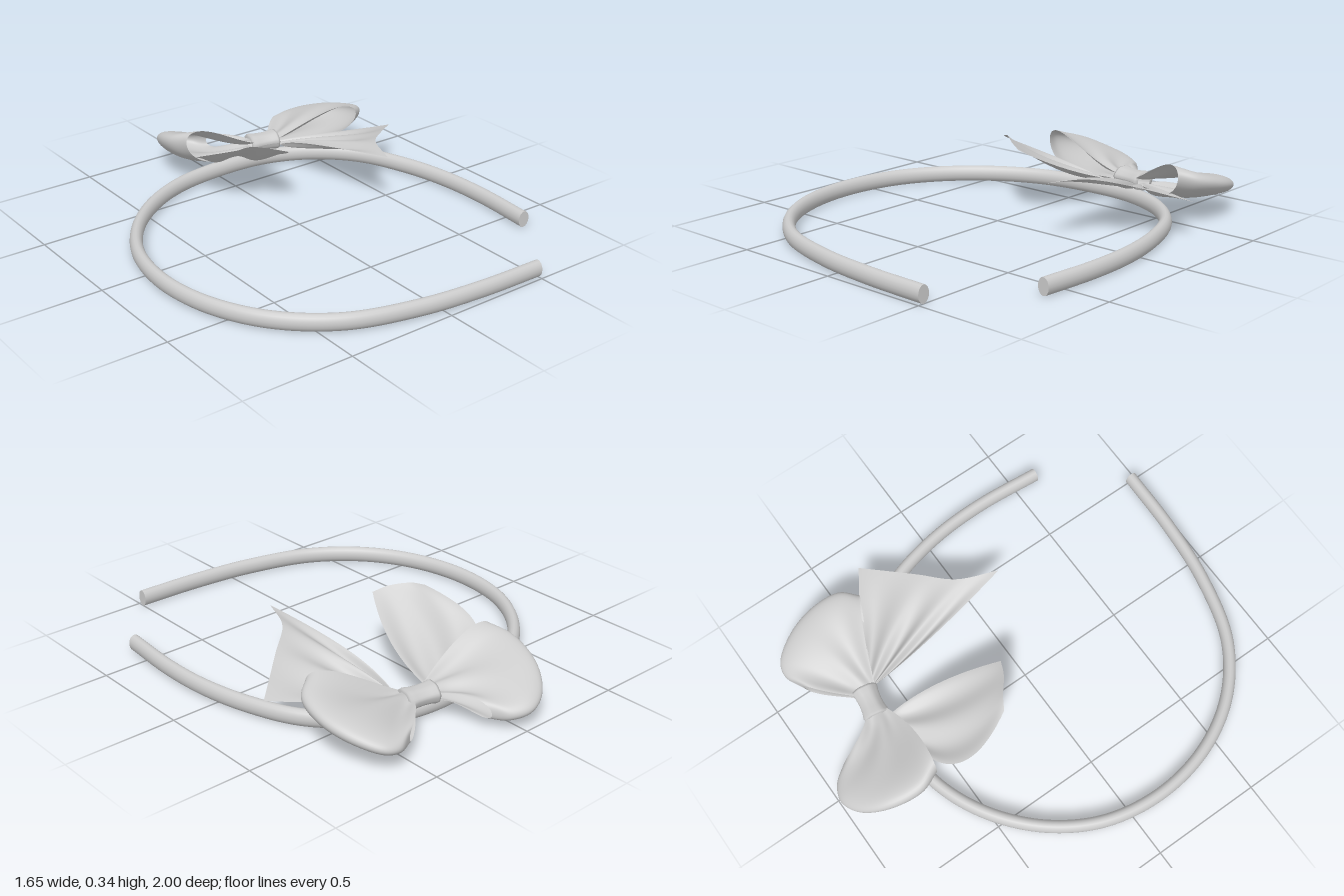
import * as THREE from 'three';

const V = (p) => new THREE.Vector3(...p);
const spline = (pts) => new THREE.CatmullRomCurve3(pts.map(V), false, 'centripetal');
const grey = () => new THREE.MeshStandardMaterial({ color: 0xcccccc, side: THREE.DoubleSide });

function add(parent, name, geometry) {
  const mesh = new THREE.Mesh(geometry, grey());
  mesh.name = name;
  parent.add(mesh);
  return mesh;
}

// Fan of curved rays from the knot (root) through bend to the outer rim.
// place(u, v) gives [distance along the ray, vertical offset]; v runs across the ribbon.
function ribbon({ root, bend, rim, pleats, depth }, place, nu, nv) {
  const [R, B, T] = [root, bend, rim].map(spline);
  const geo = new THREE.PlaneGeometry(1, 1, nu, nv);
  const pos = geo.attributes.position;
  for (let i = 0; i < pos.count; i++) {
    const u = pos.getX(i) + 0.5, v = pos.getY(i) + 0.5;
    const [p, lift] = place(u, v);
    const q = new THREE.QuadraticBezierCurve3(R.getPoint(v), B.getPoint(v), T.getPoint(v)).getPoint(p);
    q.y += lift + depth * Math.cos(v * Math.PI * 2 * pleats) * Math.sin(Math.PI * Math.pow(p, 0.7));
    pos.setXYZ(i, q.x, q.y, q.z);
  }
  geo.computeVertexNormals();
  return geo;
}

// Closed teardrop, thinner toward the back edge:
// out along the lower sheet, round the fold, back along the upper one
const loop = (spec) => ribbon(spec, (u, v) => {
  const a = u * Math.PI, s = Math.max(0, Math.sin(a));
  return [Math.pow(s, 0.8), -Math.cos(a) * (spec.thick * Math.pow(s, 1.2) * (1 - 0.65 * v) + 0.015)];
}, 48, 40);

// Single loose sheet
const tail = (spec) => ribbon(spec, (u) => [u, 0], 28, 48);

export function createModel() {
  const model = new THREE.Group();
  model.name = 'bowHeadband';

  // Headband: open hoop lying flat, oval in section
  const band = new THREE.Group();
  band.name = 'headband';
  model.add(band);
  const path = spline([
    [0.5, 0, 0.972], [0.2, 0, 0.963], [-0.1, 0, 0.927], [-0.405, 0, 0.832], [-0.619, 0, 0.658],
    [-0.75, 0, 0.427], [-0.798, 0, 0.16], [-0.757, 0, -0.107], [-0.637, 0, -0.322], [-0.455, 0, -0.492],
    [-0.245, 0, -0.597], [0, 0, -0.638], [0.26, 0, -0.625], [0.48, 0, -0.53], [0.64, 0, -0.37],
    [0.735, 0, -0.15], [0.785, 0, 0.08], [0.797, 0, 0.32], [0.777, 0, 0.615],
  ]);
  const radius = 0.028, tall = 1.36, bandY = 0.0385;
  add(band, 'hoop', new THREE.TubeGeometry(path, 160, radius, 16).scale(1, tall, 1).translate(0, bandY, 0));
  for (const [t, sign] of [[0, -1], [1, 1]]) {
    const cap = add(band, 'endCap', new THREE.CircleGeometry(radius, 16).scale(1, tall, 1));
    const dir = path.getTangent(t).multiplyScalar(sign);
    cap.position.copy(path.getPoint(t)).setY(bandY);
    cap.rotation.y = Math.atan2(dir.x, dir.z);
  }

  // Bow, tilted so that it rises toward the front
  const bow = new THREE.Group();
  bow.name = 'bow';
  model.add(bow);

  add(bow, 'rightLoop', loop({
    root: [[0.2, 0.115, -0.61], [0.2, 0.11, -0.71]],
    bend: [[0.02, 0.14, -0.55], [0, 0.11, -0.69], [0.13, 0.09, -0.79]],
    rim: [[-0.2, 0.235, -0.6], [-0.235, 0.215, -0.7], [-0.2, 0.17, -0.86], [-0.12, 0.115, -0.965],
      [-0.03, 0.085, -0.998], [0.05, 0.07, -0.965], [0.1, 0.07, -0.9]],
    thick: 0.14, pleats: 2, depth: 0.01,
  }));
  add(bow, 'leftLoop', loop({
    root: [[0.31, 0.115, -0.59], [0.32, 0.11, -0.69]],
    bend: [[0.45, 0.14, -0.54], [0.5, 0.12, -0.66], [0.42, 0.1, -0.81]],
    rim: [[0.66, 0.23, -0.425], [0.735, 0.21, -0.49], [0.758, 0.18, -0.61], [0.73, 0.145, -0.75],
      [0.65, 0.11, -0.87], [0.58, 0.1, -0.888], [0.5, 0.1, -0.85]],
    thick: 0.12, pleats: 2, depth: 0.01,
  }));

  add(bow, 'rightTail', tail({
    root: [[0.06, 0.105, -0.61], [0.17, 0.1, -0.59]],
    bend: [[-0.37, 0.16, -0.6], [-0.08, 0.14, -0.45], [0.17, 0.14, -0.35]],
    rim: [[-0.17, 0.32, -0.23], [-0.12, 0.335, -0.2], [-0.04, 0.325, -0.14], [0.025, 0.305, -0.11]],
    pleats: 2, depth: 0.014,
  }));
  add(bow, 'leftTail', tail({
    root: [[0.32, 0.1, -0.58], [0.33, 0.1, -0.63]],
    bend: [[0.29, 0.18, -0.37], [0.4, 0.15, -0.4], [0.62, 0.11, -0.47]],
    rim: [[0.39, 0.27, 0.135], [0.465, 0.265, -0.04], [0.6, 0.235, -0.165], [0.805, 0.165, -0.345]],
    pleats: 3, depth: 0.016,
  }));

  // Knot: waisted wrap round the gathered middle, with a few soft creases
  const profile = [[0.035, -0.072], [0.052, -0.07], [0.054, -0.06], [0.049, -0.035], [0.047, 0],
    [0.049, 0.035], [0.054, 0.06], [0.052, 0.07], [0.035, 0.072]].map((p) => new THREE.Vector2(...p));
  const knotGeo = new THREE.LatheGeometry(profile, 32);
  const kp = knotGeo.attributes.position;
  for (let i = 0; i < kp.count; i++) {
    const a = Math.atan2(kp.getZ(i), kp.getX(i));
    const k = 1 + 0.025 * Math.cos(7 * a);
    kp.setXYZ(i, kp.getX(i) * k, kp.getY(i), kp.getZ(i) * k);
  }
  knotGeo.rotateZ(-Math.PI / 2).scale(1, 0.85, 1.08);
  knotGeo.computeVertexNormals();
  const knot = add(bow, 'knot', knotGeo);
  knot.position.set(0.26, 0.112, -0.648);
  knot.rotation.y = -0.17;

  return model;
}
